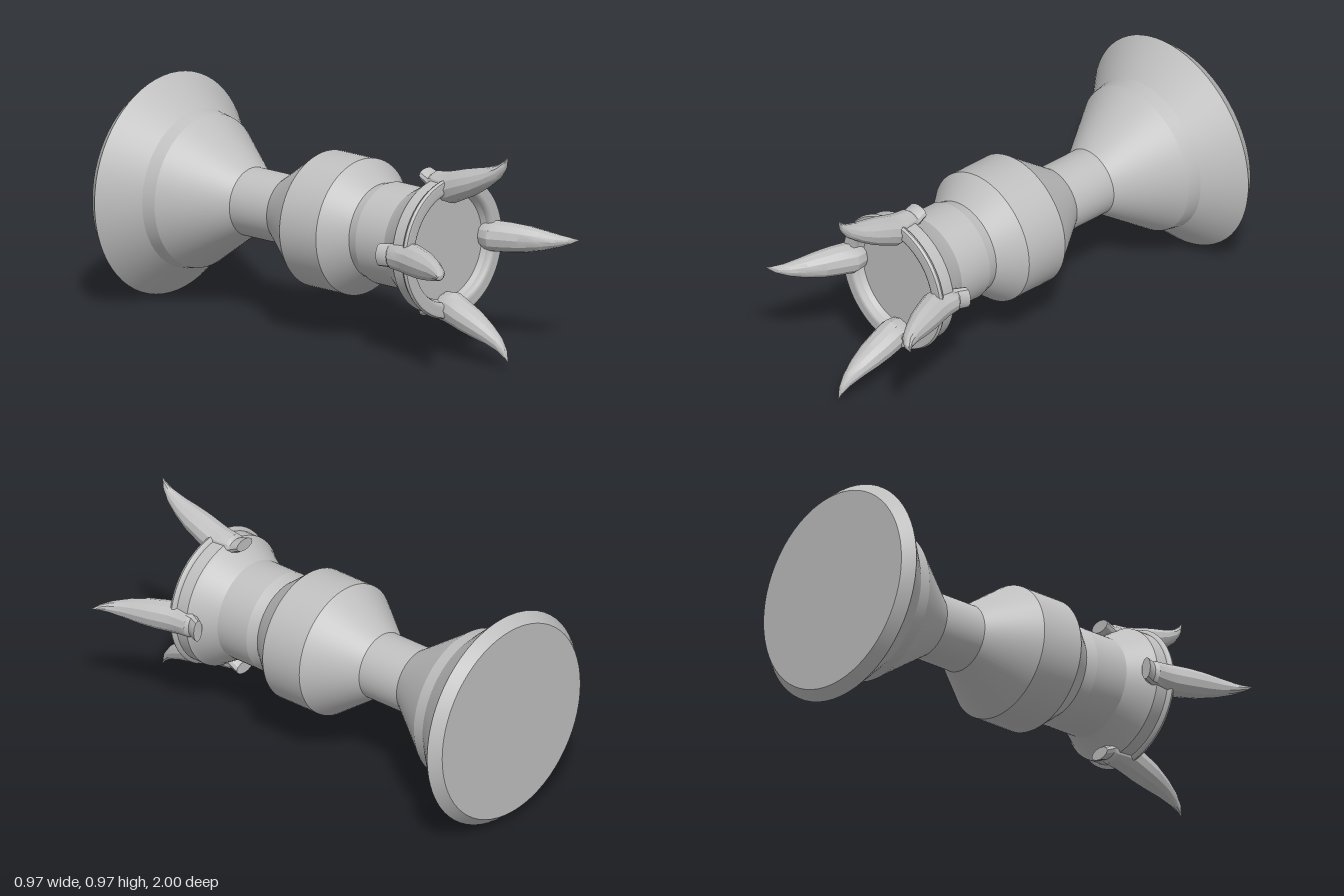
import * as THREE from 'three';
import { toCreasedNormals } from 'three/addons/utils/BufferGeometryUtils.js';

const AXIS_Y = 0.487;

// Turned solid along z from [radius, z] pairs
function turned(points, crease = 0.2) {
  const g = new THREE.LatheGeometry(points.map(([r, z]) => new THREE.Vector2(r, z)), 64);
  g.rotateX(Math.PI / 2);
  return toCreasedNormals(g, crease);
}

// Curved claw lofted through cross-sections: [z, inner radius, outer radius, half width]
function clawGeometry() {
  const sections = [
    [0.53, 0.272, 0.328, 0.05],
    [0.575, 0.245, 0.312, 0.052],
    [0.59, 0.225, 0.325, 0.058],
    [0.65, 0.2, 0.332, 0.065],
    [0.69, 0.197, 0.342, 0.069],
    [0.75, 0.225, 0.36, 0.067],
    [0.82, 0.258, 0.377, 0.06],
    [0.89, 0.302, 0.393, 0.045],
    [0.95, 0.348, 0.416, 0.027],
    [0.985, 0.395, 0.44, 0.013],
    [1.0, 0.455, 0.457, 0.001],
  ];
  const n = 12, pos = [], idx = [];
  for (const [z, inner, outer, w] of sections) {
    for (let j = 0; j < n; j++) {
      const a = (j / n) * Math.PI * 2;
      pos.push(w * Math.cos(a), (inner + outer) / 2 + ((outer - inner) / 2) * Math.sin(a), z);
    }
  }
  for (let i = 0; i < sections.length - 1; i++) {
    for (let j = 0; j < n; j++) {
      const k = (j + 1) % n;
      const a = i * n + j, b = i * n + k, c = b + n, d = a + n;
      idx.push(a, b, c, a, c, d);
    }
  }
  // End caps
  const last = (sections.length - 1) * n;
  for (let j = 1; j < n - 1; j++) {
    idx.push(0, j + 1, j, last, last + j, last + j + 1);
  }
  const g = new THREE.BufferGeometry();
  g.setAttribute('position', new THREE.Float32BufferAttribute(pos, 3));
  g.setIndex(idx);
  return toCreasedNormals(g, 0.45);
}

export function createModel() {
  const model = new THREE.Group();
  const body = new THREE.Group();
  body.name = 'body';
  body.position.y = AXIS_Y;
  model.add(body);

  const grey = new THREE.MeshStandardMaterial({ color: 0xbfbfbf });
  grey.name = 'plain grey';

  const add = (name, geometry) => {
    const mesh = new THREE.Mesh(geometry, grey);
    mesh.name = name;
    body.add(mesh);
    return mesh;
  };

  // Flared end, neck, bulging grip and collar in one turned piece
  add('handle', turned([
    [0, -1], [0.445, -1], [0.486, -0.95], [0.347, -0.8], [0.335, -0.74],
    [0.15, -0.475], [0.15, -0.26], [0.299, -0.05], [0.299, 0.16],
    [0.21, 0.27], [0.212, 0.28], [0.224, 0.32], [0.224, 0.49],
  ]));

  // Flaring cup with its recessed face
  add('cup', turned([
    [0.224, 0.485], [0.283, 0.585], [0.296, 0.6], [0.296, 0.665],
    [0.25, 0.67], [0.235, 0.635], [0, 0.635],
  ]));

  // Rounded rim around the face
  add('rim', turned([
    [0.294, 0.658], [0.306, 0.664], [0.312, 0.675], [0.306, 0.687], [0.292, 0.69],
    [0.275, 0.686], [0.262, 0.69], [0.25, 0.684], [0.243, 0.67], [0.246, 0.655],
  ], 0.8));

  // Four claws around the rim
  const claw = clawGeometry();
  ['topClaw', 'rightClaw', 'bottomClaw', 'leftClaw'].forEach((name, i) => {
    add(name, claw).rotation.z = (i * Math.PI) / 2;
  });

  return model;
}
